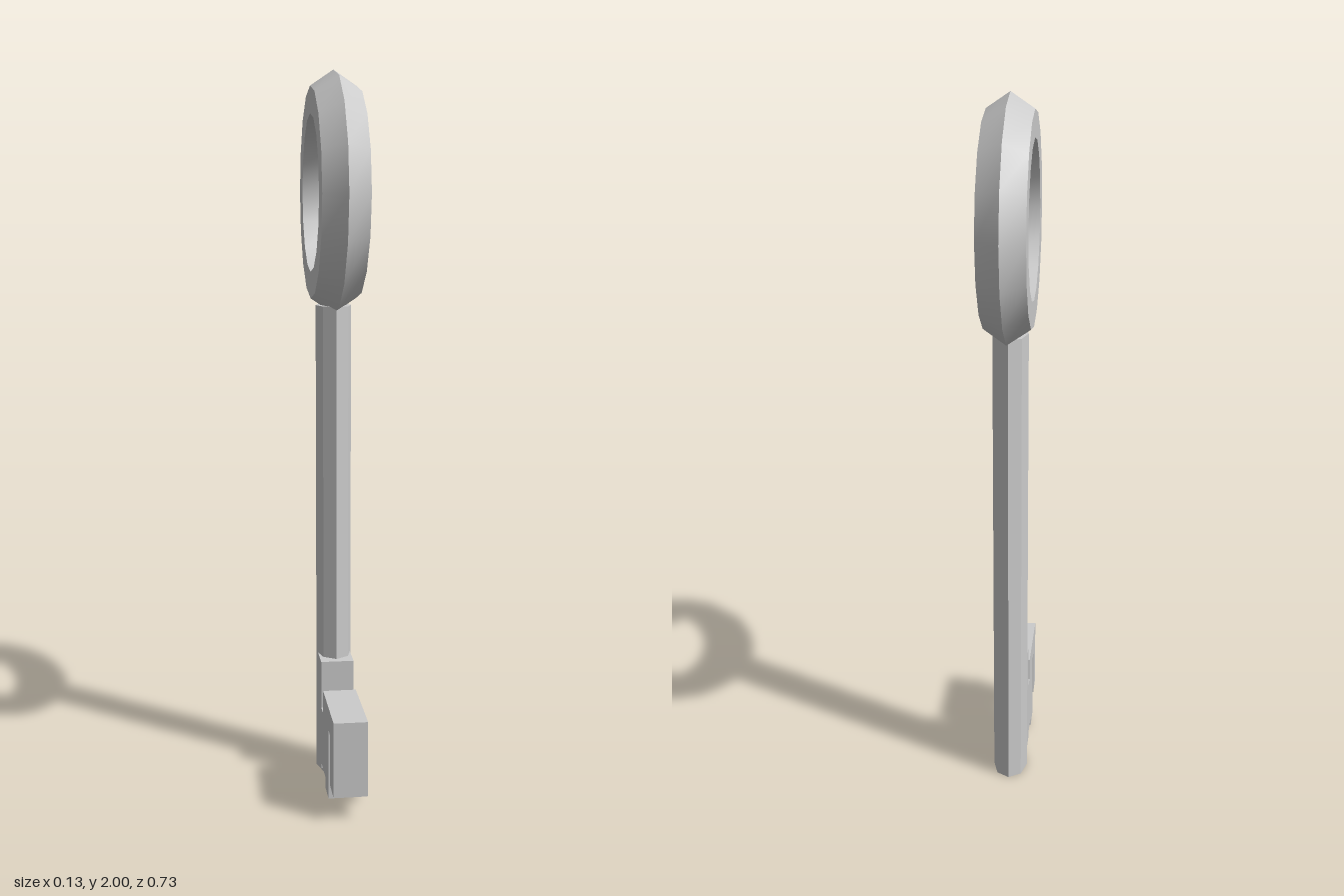
import * as THREE from 'three';
import { toCreasedNormals } from 'three/addons/utils/BufferGeometryUtils.js';

const CENTRE_Z = -0.025; // axis shared by the shaft and the ring

export function createModel() {
  const key = new THREE.Group();
  key.name = 'key';
  const smooth = new THREE.MeshStandardMaterial({ color: 0xcccccc });
  const flat = new THREE.MeshStandardMaterial({ color: 0xcccccc, flatShading: true });

  const add = (name, geometry, material) => {
    const mesh = new THREE.Mesh(geometry, material);
    mesh.name = name;
    key.add(mesh);
    return mesh;
  };

  // Ring handle: five-sided section with a ridge around the rim, turned about x
  const section = [
    [0.22, -0.064], [0.295, -0.064], [0.339, 0], [0.295, 0.064], [0.22, 0.064], [0.22, -0.064],
  ].map(([r, h]) => new THREE.Vector2(r, h));
  const ring = new THREE.LatheGeometry(section, 16);
  ring.rotateZ(Math.PI / 2);
  ring.scale(1, 0.98, 1);
  add('ringHandle', toCreasedNormals(ring, 0.5), smooth).position.set(0, 1.668, CENTRE_Z);

  // Shaft: octagonal bar, deeper than it is wide
  const shaft = new THREE.CylinderGeometry(1, 1, 1.36, 8);
  shaft.scale(0.05, 1, 0.077);
  add('shaft', shaft, flat).position.set(0, 0.68, CENTRE_Z);

  // Bit: notched plate, drawn as (z, y) and extruded across x
  const outline = [
    [-0.025, 0.03], [0.075, 0.03], [0.075, 0.045], [0.173, 0.045], [0.173, 0.015],
    [0.247, 0.015], [0.247, 0.215], [0.287, 0.215], [0.287, 0.07], [0.364, 0.07],
    [0.364, 0.28], [0.118, 0.28], [0.118, 0.213], [0.073, 0.213], [0.073, 0.35], [-0.025, 0.35],
  ].map(([z, y]) => new THREE.Vector2(z, y));
  const width = 0.093;
  const bit = new THREE.ExtrudeGeometry(new THREE.Shape(outline), { depth: width, bevelEnabled: false });
  bit.translate(0, 0, -width / 2);
  bit.rotateY(-Math.PI / 2);
  add('bit', bit, flat);

  return key;
}
